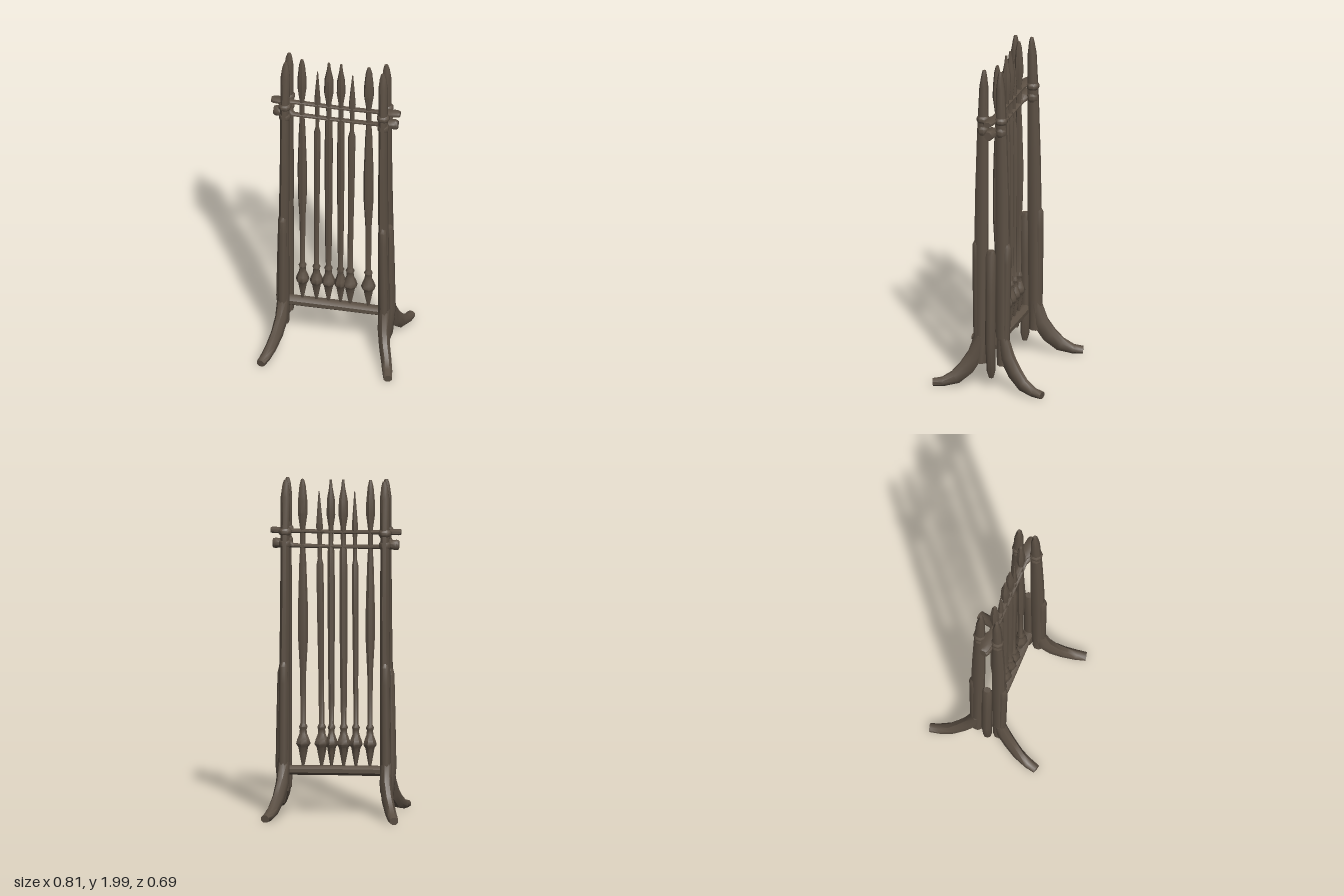
import * as THREE from 'three';
import { toCreasedNormals } from 'three/addons/utils/BufferGeometryUtils.js';

// Loft through stations [x, y, z, halfWidth, halfDepth]; side is the width direction.
function loft(stations, side, sides = 8) {
  const centres = stations.map(s => new THREE.Vector3(s[0], s[1], s[2]));
  const n = centres.length;
  const pos = [], idx = [];
  centres.forEach((c, i) => {
    const t = centres[Math.min(i + 1, n - 1)].clone().sub(centres[Math.max(i - 1, 0)]).normalize();
    const u = side.clone().addScaledVector(t, -side.dot(t)).normalize();
    const v = t.clone().cross(u);
    for (let j = 0; j < sides; j++) {
      const a = ((j + 0.5) / sides) * Math.PI * 2;
      const p = c.clone()
        .addScaledVector(u, Math.cos(a) * stations[i][3])
        .addScaledVector(v, Math.sin(a) * stations[i][4]);
      pos.push(p.x, p.y, p.z);
    }
  });
  for (let i = 0; i < n - 1; i++) {
    for (let j = 0; j < sides; j++) {
      const k = (j + 1) % sides;
      const a = i * sides + j, b = i * sides + k;
      idx.push(a, b, b + sides, a, b + sides, a + sides);
    }
  }
  const last = (n - 1) * sides;
  for (let j = 1; j < sides - 1; j++) {
    idx.push(0, j + 1, j, last, last + j, last + j + 1);
  }
  const g = new THREE.BufferGeometry();
  g.setAttribute('position', new THREE.Float32BufferAttribute(pos, 3));
  g.setIndex(idx);
  return toCreasedNormals(g, 0.85);
}

export function createModel() {
  const model = new THREE.Group();
  model.name = 'spearRack';
  const wood = new THREE.MeshStandardMaterial({ color: 0x5c5044 });
  wood.name = 'darkWood';
  const X = new THREE.Vector3(1, 0, 0), Y = new THREE.Vector3(0, 1, 0);

  const add = (name, stations, side, sides) => {
    const mesh = new THREE.Mesh(loft(stations, side, sides), wood);
    mesh.name = name;
    model.add(mesh);
    return mesh;
  };

  for (const sx of [-1, 1]) {
    for (const sz of [-1, 1]) {
      const flip = rows => rows.map(([x, y, z, a, b]) => [x * sx, y, z * sz, a, b]);

      // Pointed corner post
      add('post', flip([
        [0.3, 0.16, 0.068, 0.034, 0.035], [0.3, 0.35, 0.068, 0.034, 0.04],
        [0.298, 0.9, 0.066, 0.03, 0.043], [0.295, 1.25, 0.063, 0.028, 0.041],
        [0.295, 1.6, 0.058, 0.027, 0.035], [0.293, 1.9, 0.052, 0.029, 0.026],
        [0.292, 1.97, 0.05, 0.02, 0.016], [0.291, 2.0, 0.05, 0.011, 0.01]
      ]), X);

      // Splint bound along the lower post
      add('postSplint', flip([
        [0.303, 0.2, 0.082, 0.026, 0.025], [0.303, 0.4, 0.088, 0.028, 0.025],
        [0.3, 0.8, 0.093, 0.026, 0.026], [0.3, 0.9, 0.094, 0.024, 0.026],
        [0.298, 0.925, 0.09, 0.017, 0.017]
      ]), X);

      // Splayed, curved foot
      add('foot', flip([
        [0.302, 0.33, 0.07, 0.034, 0.036], [0.305, 0.21, 0.098, 0.036, 0.05],
        [0.322, 0.125, 0.15, 0.034, 0.05], [0.345, 0.065, 0.21, 0.032, 0.043],
        [0.366, 0.036, 0.28, 0.031, 0.028], [0.381, 0.03, 0.338, 0.027, 0.023]
      ]), new THREE.Vector3(sx, 0, -0.3 * sz));

      // Rope collars where the rails are tied on
      for (const [y, h, r] of [[1.695, 0.02, 0.039], [1.625, 0.028, 0.035]]) {
        add('lashing', flip([
          [0.295, y - h, 0.056, r - 0.008, r - 0.008], [0.295, y - h * 0.4, 0.056, r, r],
          [0.295, y + h * 0.4, 0.056, r, r], [0.295, y + h, 0.056, r - 0.009, r - 0.009]
        ]), X);
      }
    }

    // Outer stake between each pair of posts
    add('outerStake', [
      [0.312, 0.075, 0, 0.012, 0.014], [0.315, 0.12, 0, 0.026, 0.026],
      [0.327, 0.3, 0, 0.031, 0.031], [0.323, 0.6, 0, 0.029, 0.031],
      [0.32, 0.85, 0, 0.026, 0.03], [0.32, 0.88, 0, 0.018, 0.022]
    ].map(([x, ...rest]) => [x * sx, ...rest]), X);
  }

  // Thick bottom rail
  add('bottomRail', [
    [-0.31, 0.274, 0, 0.031, 0.036], [0, 0.274, 0, 0.03, 0.037], [0.31, 0.27, 0, 0.028, 0.034]
  ], Y);

  // Two thin top rails with knobbed ends
  for (const [y, endY, len, h] of [[1.692, 1.695, 0.385, 0.019], [1.605, 1.618, 0.372, 0.032]]) {
    const half = [
      [0.25, y, 0, 0.013, 0.018], [0.28, endY, 0, h * 0.8, 0.036],
      [0.33, endY, 0, h * 0.85, 0.036], [len - 0.015, endY, 0, h, 0.03],
      [len, endY, 0, h * 0.85, 0.022]
    ];
    const mirrored = half.map(([x, ...rest]) => [-x, ...rest]).reverse();
    add('topRail', [...mirrored, [0, y - 0.003, 0, 0.011, 0.017], ...half], Y);
  }

  // Spear shapes as [height, radius]
  const butt = [
    [0.3, 0.008], [0.37, 0.022], [0.41, 0.029], [0.43, 0.043],
    [0.455, 0.036], [0.49, 0.022], [0.515, 0.02], [0.53, 0.026], [0.55, 0.016]
  ];
  const broad = [
    ...butt, [0.85, 0.018], [1.05, 0.029], [1.25, 0.029], [1.5, 0.021], [1.6, 0.015],
    [1.71, 0.016], [1.8, 0.029], [1.87, 0.028], [1.96, 0.019], [2.0, 0.009]
  ];
  const straight = [
    ...butt, [0.7, 0.02], [1.0, 0.023], [1.4, 0.025], [1.58, 0.022], [1.62, 0.015],
    [1.72, 0.017], [1.79, 0.029], [1.88, 0.027], [1.95, 0.013], [2.0, 0.007]
  ];
  const slim = [
    ...butt, [0.8, 0.016], [1.2, 0.02], [1.49, 0.021], [1.53, 0.012],
    [1.66, 0.014], [1.72, 0.02], [1.8, 0.014], [1.93, 0.003]
  ];

  // Spears in a row: x position, profile, lean of the tip, width factor
  const spears = [
    [-0.2, broad, -0.004, 0.95], [-0.117, slim, 0.007, 0.95], [-0.045, straight, 0.003, 1],
    [0.027, straight, 0.004, 0.9], [0.085, slim, 0.016, 1.05], [0.194, broad, 0.004, 1.03]
  ];
  for (const [x, profile, lean, w] of spears) {
    add('spear', profile.map(([y, r]) =>
      [x + lean * Math.max(0, (y - 0.6) / 1.4), y, 0, r * w, r * 0.95]), X, 7);
  }
  return model;
}
